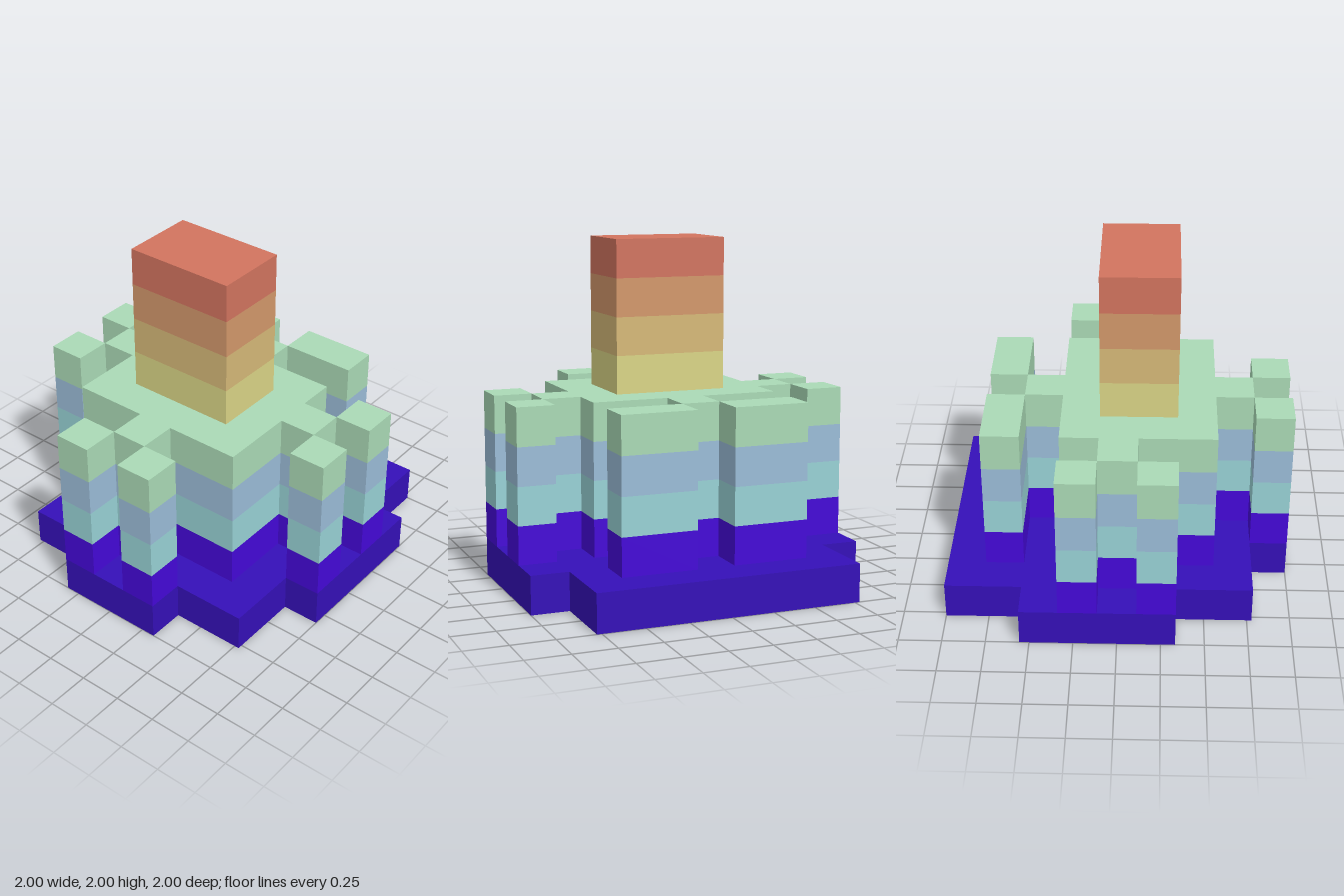
import * as THREE from 'three';

const U = 2 / 9; // one block

// One colour per block layer, bottom to top
const materials = [
  0x3510b8, 0x4508d8, 0x98d2d6, 0x9bbdd8, 0xaadab6,
  0xdad586, 0xd6b978, 0xd3986b, 0xd2745f,
].map((color) => new THREE.MeshStandardMaterial({ color, flatShading: true }));

// Full plan outline from its +x half, listed front to back as [x, z] in blocks
function mirroredPlan(half) {
  const other = half.map(([x, z]) => [-x, z]).reverse();
  return [...half, ...other];
}

const rectPlan = (x0, x1, z0, z1) => [[x0, z0], [x1, z0], [x1, z1], [x0, z1]];

// Stack of one-block-high slabs sharing a plan, from layer "first" to "last"
function stack(name, plan, first, last) {
  const group = new THREE.Group();
  group.name = name;
  const shape = new THREE.Shape(plan.map(([x, z]) => new THREE.Vector2(x * U, z * U)));
  const geometry = new THREE.ExtrudeGeometry(shape, { depth: U, bevelEnabled: false });
  geometry.rotateX(Math.PI / 2).translate(0, U, 0);
  for (let layer = first; layer <= last; layer++) {
    const slab = new THREE.Mesh(geometry, materials[layer]);
    slab.name = `${name}Layer${layer}`;
    slab.position.y = layer * U;
    group.add(slab);
  }
  return group;
}

export function createModel() {
  const model = new THREE.Group();
  model.name = 'steppedTower';

  // Stepped ground plate
  model.add(stack('base', mirroredPlan([
    [1.5, 4.5], [1.5, 3.5], [3.5, 3.5], [3.5, 1.5],
    [4.5, 1.5], [4.5, -2.5], [3.5, -2.5], [3.5, -4.5],
  ]), 0, 0));

  // Central block with a buttress on each side
  model.add(stack('mainBlock', mirroredPlan([
    [0.5, 3.5], [0.5, 2.5], [2.5, 2.5], [2.5, 0.5], [3.5, 0.5],
    [3.5, -0.5], [2.5, -0.5], [2.5, -1.5], [0.5, -1.5], [0.5, -2.5],
  ]), 1, 4));

  // Free-standing pillars, mirrored left and right
  const pillars = [
    ['FrontPillar', 0.5, 1.5, 3.5, 4.5],
    ['SideFrontPillar', 3.5, 4.5, 0.5, 1.5],
    ['SideBackPillar', 3.5, 4.5, -1.5, -0.5],
    ['BackPillar', 0.5, 2.5, -3.5, -2.5],
  ];
  for (const [name, x0, x1, z0, z1] of pillars) {
    model.add(stack('left' + name, rectPlan(x0, x1, z0, z1), 1, 4));
    model.add(stack('right' + name, rectPlan(-x1, -x0, z0, z1), 1, 4));
  }

  // Tower on top
  model.add(stack('tower', rectPlan(-1.5, 1.5, -0.5, 1.5), 5, 8));

  return model;
}
